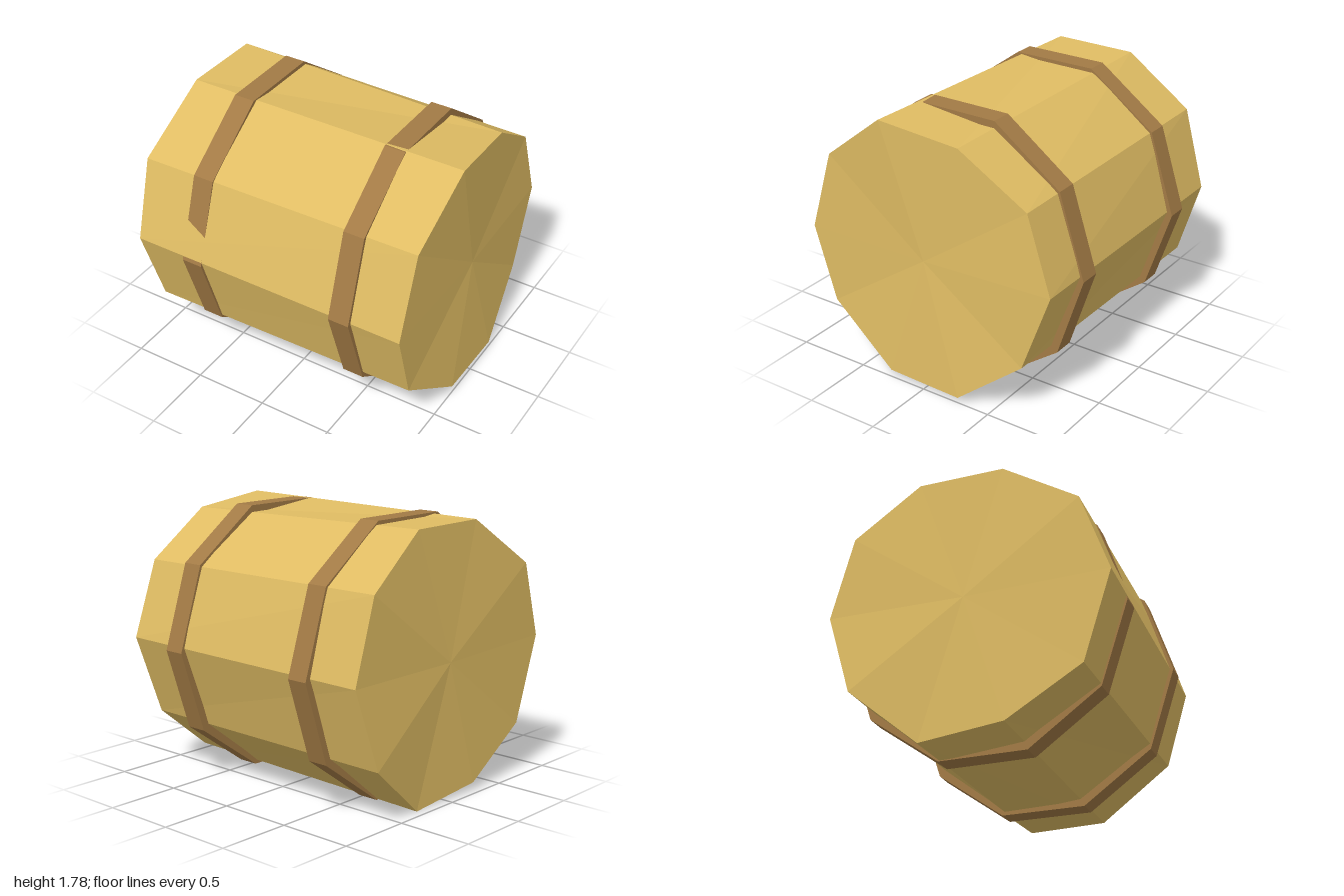
import * as THREE from 'three';

const SIDES = 10;
const RADIUS = 0.932;
const AXIS_Y = 0.887;

// Uneven end outlines [x, y, z], running from the front (+z) up and over
const RIGHT_END = [
  [-0.96, 0.92, 0.932], [-0.985, 1.43, 0.753], [-0.95, 1.76, 0.25], [-0.95, 1.755, -0.31], [-0.98, 1.43, -0.74],
  [-0.97, 0.9, -0.89], [-1, 0.37, -0.72], [-0.94, 0, -0.28], [-0.96, 0.055, 0.27], [-0.95, 0.35, 0.75],
];
const LEFT_END = [
  [0.945, 0.887, 0.9], [0.955, 1.435, 0.725], [1, 1.78, 0.28], [0.965, 1.72, -0.28], [0.93, 1.42, -0.74],
  [0.94, 0.92, -0.91], [0.94, 0.38, -0.71], [1, 0.035, -0.27], [1, 0.05, 0.26], [0.94, 0.385, 0.75],
];

function centreOf(ring) {
  return [0, 1, 2].map((k) => ring.reduce((sum, p) => sum + p[k], 0) / ring.length);
}

// Ten long faces between the two outlines, with a fan closing each end
function bodyGeometry(a, b) {
  const ca = centreOf(a);
  const cb = centreOf(b);
  const points = [];
  for (let i = 0; i < SIDES; i++) {
    const j = (i + 1) % SIDES;
    points.push(a[i], b[i], b[j], a[i], b[j], a[j]);
    points.push(ca, a[i], a[j], cb, b[j], b[i]);
  }
  const geometry = new THREE.BufferGeometry();
  geometry.setAttribute('position', new THREE.Float32BufferAttribute(points.flat(), 3));
  geometry.computeVertexNormals();
  return geometry;
}

export function createModel() {
  const straw = new THREE.MeshStandardMaterial({ color: 0xdfbc63, flatShading: true });
  straw.name = 'straw';
  const brown = new THREE.MeshStandardMaterial({ color: 0xa27a45, flatShading: true });
  brown.name = 'strap brown';

  const model = new THREE.Group();
  model.name = 'bale';

  const body = new THREE.Mesh(bodyGeometry(RIGHT_END, LEFT_END), straw);
  body.name = 'baleBody';
  model.add(body);

  // Two regular ten-sided straps around the body
  const strapGeometry = new THREE.CylinderGeometry(RADIUS, RADIUS, 0.142, SIDES);
  strapGeometry.rotateZ(Math.PI / 2);
  [['rightStrap', -0.548], ['leftStrap', 0.54]].forEach(([name, x]) => {
    const strap = new THREE.Mesh(strapGeometry, brown);
    strap.name = name;
    strap.position.set(x, AXIS_Y, 0);
    model.add(strap);
  });

  return model;
}
